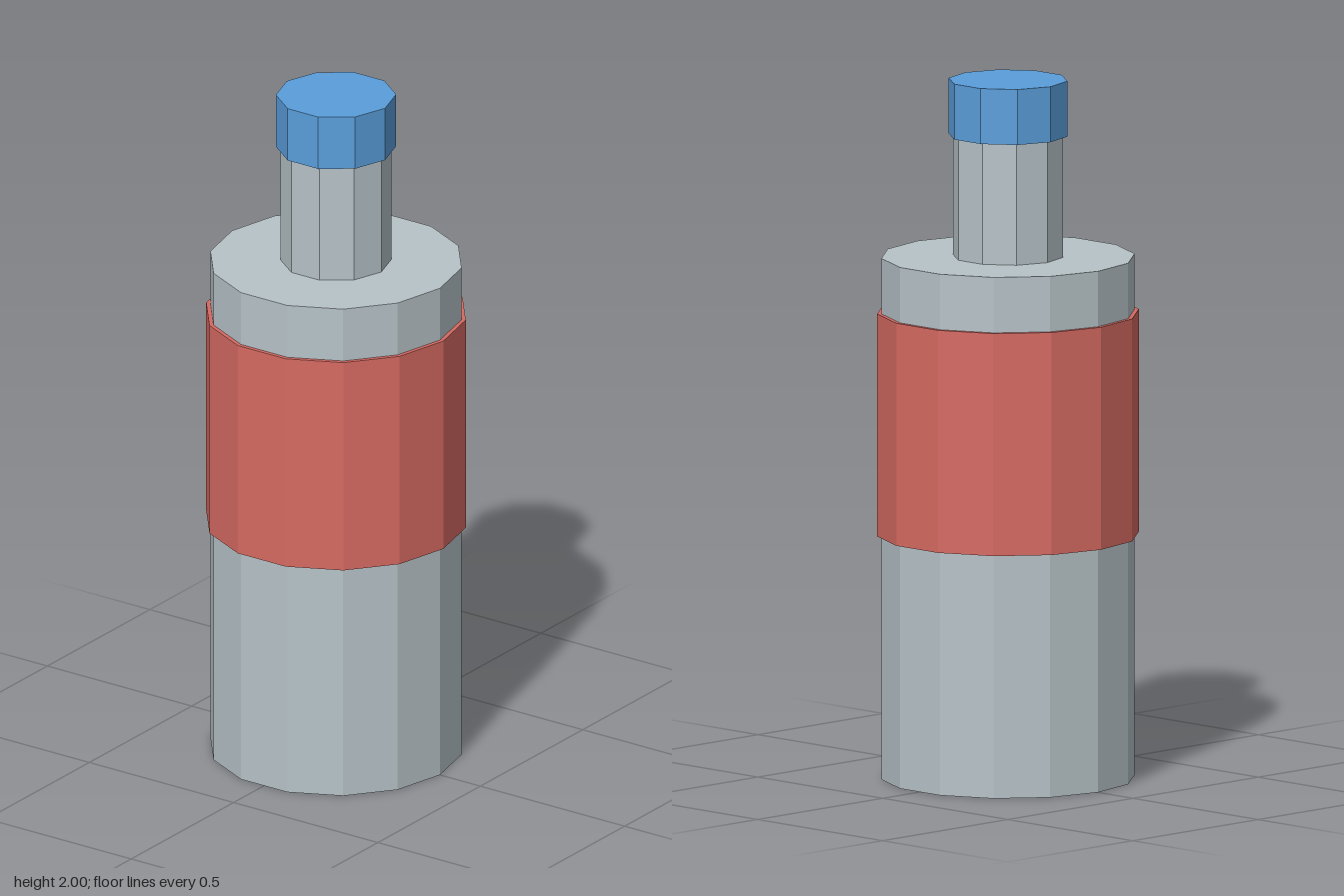
import * as THREE from 'three';

const paint = (name, color) => {
  const m = new THREE.MeshStandardMaterial({ color, flatShading: true });
  m.name = name;
  return m;
};

export function createModel() {
  const grey = paint('grey', 0xb7c3c8);
  const red = paint('red', 0xd66a62);
  const blue = paint('blue', 0x5a9edb);

  const model = new THREE.Group();
  model.name = 'bottle';

  // Faceted upright cylinder from y0 to y1, with a corner on the z axis
  const addCylinder = (name, radius, y0, y1, sides, material) => {
    const mesh = new THREE.Mesh(new THREE.CylinderGeometry(radius, radius, y1 - y0, sides), material);
    mesh.name = name;
    mesh.position.y = (y0 + y1) / 2;
    model.add(mesh);
  };

  addCylinder('body', 0.36, 0, 1.494, 14, grey);
  addCylinder('label', 0.372, 0.697, 1.335, 14, red);
  addCylinder('neck', 0.157, 1.494, 1.841, 10, grey);
  addCylinder('cap', 0.17, 1.841, 2, 10, blue);

  return model;
}
